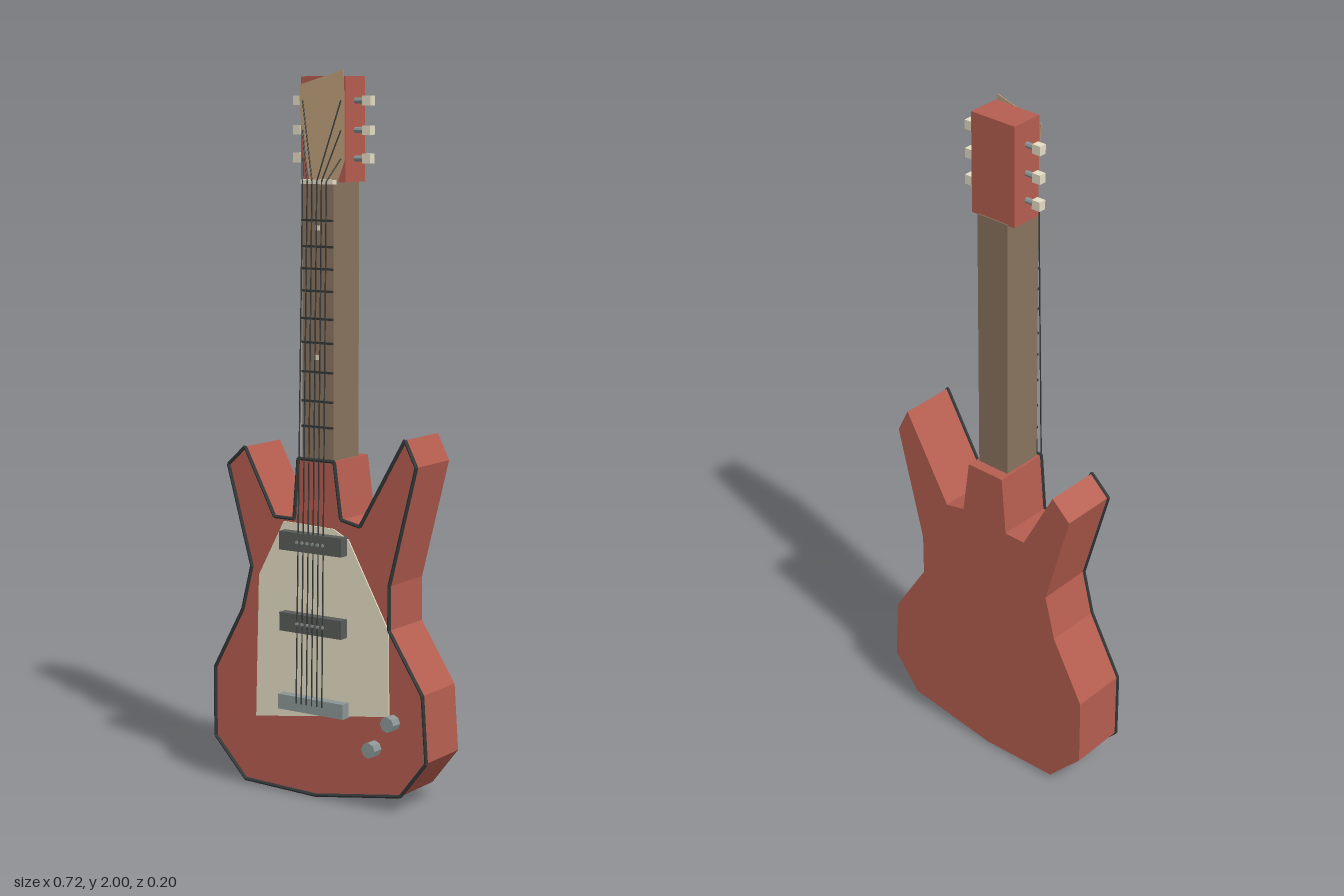
import * as THREE from 'three';

const mat = (name, color) => {
  const m = new THREE.MeshStandardMaterial({ color });
  m.name = name;
  return m;
};

export function createModel() {
  const red = mat('red paint', 0xb65e50);
  const black = mat('black trim', 0x343838);
  const cream = mat('cream', 0xe6dec5);
  const tan = mat('tan wood', 0xc0a07c);
  const brown = mat('brown wood', 0x8a7460);
  const charcoal = mat('charcoal', 0x595c59);
  const steel = mat('steel', 0x8c9696);

  const guitar = new THREE.Group();
  guitar.name = 'guitar';

  const add = (name, geometry, material, parent = guitar) => {
    const mesh = new THREE.Mesh(geometry, material);
    mesh.name = name;
    parent.add(mesh);
    return mesh;
  };
  const group = (name) => {
    const g = new THREE.Group();
    g.name = name;
    guitar.add(g);
    return g;
  };
  // Box given by its limits on each axis
  const box = (name, [x0, x1], [y0, y1], [z0, z1], material, parent) => {
    const g = new THREE.BoxGeometry(x1 - x0, y1 - y0, z1 - z0);
    g.translate((x0 + x1) / 2, (y0 + y1) / 2, (z0 + z1) / 2);
    return add(name, g, material, parent);
  };
  // Flat outline extruded from z0 to z1
  const slab = (name, points, z0, z1, material) => {
    const shape = new THREE.Shape(points.map(([x, y]) => new THREE.Vector2(x, y)));
    const g = new THREE.ExtrudeGeometry(shape, { depth: z1 - z0, bevelEnabled: false });
    g.translate(0, 0, z0);
    return add(name, g, material);
  };
  // Straight faceted bar between two points
  const rod = (name, a, b, radius, sides, material, parent) => {
    const p = new THREE.Vector3(...a), q = new THREE.Vector3(...b);
    const dir = q.clone().sub(p);
    const g = new THREE.CylinderGeometry(radius, radius, dir.length(), sides).toNonIndexed();
    g.computeVertexNormals();
    const mesh = add(name, g, material, parent);
    mesh.position.copy(p).add(q).multiplyScalar(0.5);
    mesh.quaternion.setFromUnitVectors(new THREE.Vector3(0, 1, 0), dir.normalize());
    return mesh;
  };

  // Angular body with two horns
  const outline = [
    [-0.25, 0.013], [-0.01, 0.006], [0.27, 0.05], [0.352, 0.155], [0.339, 0.34],
    [0.232, 0.505], [0.232, 0.627], [0.316, 0.957], [0.28, 1.028], [0.137, 0.78],
    [0.075, 0.793], [0.053, 0.95], [-0.066, 0.95], [-0.08, 0.78], [-0.146, 0.78],
    [-0.246, 0.967], [-0.304, 0.913], [-0.225, 0.632], [-0.257, 0.505],
    [-0.355, 0.325], [-0.355, 0.124],
  ];
  slab('body', outline, -0.103, 0.06, red);

  // Black binding round the front edge
  const binding = group('binding');
  outline.forEach(([x, y], i) => {
    const [u, v] = outline[(i + 1) % outline.length];
    rod('bindingPiece', [x, y, 0.063], [u, v, 0.063], 0.005, 6, black, binding);
  });

  slab('pickguard', [
    [-0.212, 0.203], [0.232, 0.267], [0.23, 0.505], [0.1, 0.74], [0.05, 0.765],
    [-0.115, 0.77], [-0.2, 0.61],
  ], 0.06, 0.064, cream);

  // Neck, nut, frets and inlays
  box('neck', [-0.058, 0.044], [0.94, 1.705], [-0.07, 0.053], brown);
  box('nut', [-0.058, 0.046], [1.697, 1.709], [0.042, 0.06], cream);
  const frets = group('frets');
  [1.04, 1.11, 1.19, 1.27, 1.335, 1.41, 1.47, 1.53, 1.6].forEach((y) =>
    box('fret', [-0.058, 0.044], [y - 0.003, y + 0.003], [0.052, 0.058], black, frets));
  const inlays = group('inlays');
  [1.23, 1.58].forEach((y) =>
    box('inlay', [-0.014, 0], [y - 0.007, y + 0.007], [0.052, 0.056], cream, inlays));

  // Headstock block and its wooden face
  box('headstock', [-0.079, 0.065], [1.702, 1.983], [-0.067, 0.028], red);
  slab('headstockFace', [
    [-0.05, 1.703], [0.04, 1.703], [0.063, 1.76], [0.061, 2], [-0.085, 1.96], [-0.075, 1.83],
  ], 0.028, 0.03, tan);

  // Tuning pegs on both sides
  const tuners = group('tuners');
  const pegHeights = [1.765, 1.84, 1.919];
  for (const y of pegHeights) {
    for (const side of [-1, 1]) {
      const x = (d) => -0.006 + side * d;
      rod('tunerShaft', [x(0.065), y, -0.02], [x(0.103), y, -0.02], 0.008, 8, steel, tuners);
      const button = add('tunerButton', new THREE.BoxGeometry(0.026, 0.026, 0.022), cream, tuners);
      button.position.set(x(0.113), y, -0.02);
    }
  }

  // Pickups with pole pieces, and bridge
  const stringX = (i) => -0.05 + i * 0.0172;
  const pickups = group('pickups');
  for (const y of [0.722, 0.494]) {
    box('pickup', [-0.11, 0.096], [y - 0.026, y + 0.026], [0.06, 0.093], charcoal, pickups);
    for (let i = 0; i < 6; i++) {
      rod('polePiece', [stringX(i), y, 0.09], [stringX(i), y, 0.096], 0.005, 6, steel, pickups);
    }
  }
  box('bridge', [-0.115, 0.102], [0.245, 0.287], [0.06, 0.093], steel);

  // Control knobs
  for (const [x, y] of [[0.245, 0.253], [0.185, 0.172]]) {
    rod('knob', [x, y, 0.06], [x, y, 0.094], 0.022, 8, steel);
  }

  // Six strings, fanning out above the nut, the inner ones reaching highest
  const strings = group('strings');
  for (let i = 0; i < 6; i++) {
    const side = i < 3 ? -1 : 1;
    const peg = pegHeights[Math.min(i, 5 - i)];
    const nut = [-0.045 + i * 0.0155, 1.705, 0.07];
    rod('string', [stringX(i), 0.27, 0.098], nut, 0.002, 5, black, strings);
    rod('stringEnd', nut, [-0.006 + side * 0.062, peg, 0.036], 0.002, 5, black, strings);
  }
  return guitar;
}
